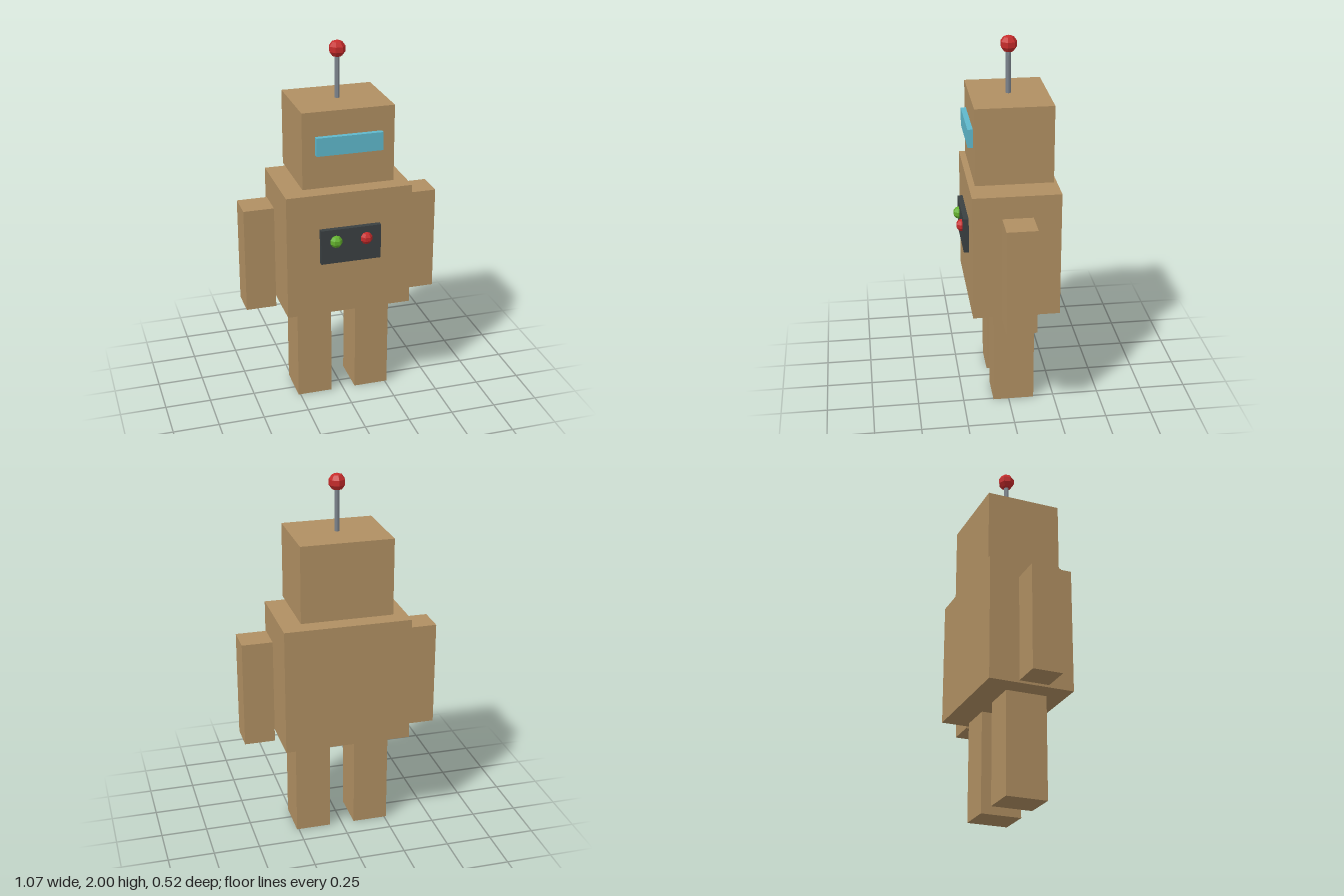
import * as THREE from 'three';

const material = (name, color, flatShading = true) => {
  const m = new THREE.MeshStandardMaterial({ color, flatShading });
  m.name = name;
  return m;
};

export function createModel() {
  const cardboard = material('cardboard tan', 0xb08f62);
  const blue = material('visor blue', 0x5fb8cc);
  const charcoal = material('panel charcoal', 0x3a4042);
  const red = material('light red', 0xc62b2b);
  const green = material('light green', 0x62b02c);
  const metal = material('antenna grey', 0x7c838c);

  const robot = new THREE.Group();
  robot.name = 'robot';

  const add = (name, geometry, mat, x, y, z) => {
    const mesh = new THREE.Mesh(geometry, mat);
    mesh.name = name;
    mesh.position.set(x, y, z);
    robot.add(mesh);
    return mesh;
  };

  // Box given by its lower and upper bounds on each axis
  const box = (name, mat, [x0, x1], [y0, y1], [z0, z1]) =>
    add(name, new THREE.BoxGeometry(x1 - x0, y1 - y0, z1 - z0), mat,
      (x0 + x1) / 2, (y0 + y1) / 2, (z0 + z1) / 2);

  // Seven-sided faceted ball with a flat facet toward the front
  const ball = (name, mat, r, x, y, z) =>
    add(name, new THREE.SphereGeometry(r, 7, 5).rotateY(-Math.PI / 2), mat, x, y, z);

  // Head and body
  box('torso', cardboard, [-0.342, 0.342], [0.565, 1.252], [-0.263, 0.201]);
  box('head', cardboard, [-0.247, 0.247], [1.281, 1.694], [-0.235, 0.175]);
  box('visor', blue, [-0.178, 0.178], [1.465, 1.563], [0.175, 0.203]);

  // Limbs, mirrored
  for (const [side, s] of [['left', 1], ['right', -1]]) {
    const span = (a, b) => (s > 0 ? [a, b] : [-b, -a]);
    box(side + 'Arm', cardboard, span(0.37, 0.534), [0.565, 1.143], [-0.112, 0.05]);
    box(side + 'Leg', cardboard, span(0.069, 0.261), [0, 0.551], [-0.138, 0.085]);
  }

  // Chest panel with two lights
  box('chestPanel', charcoal, [-0.164, 0.164], [0.868, 1.06], [0.201, 0.229]);
  ball('greenLight', green, 0.034, -0.083, 0.993, 0.229);
  ball('redLight', red, 0.034, 0.083, 0.993, 0.229);

  // Antenna
  add('antennaRod', new THREE.CylinderGeometry(0.014, 0.014, 0.25, 8), metal, 0, 1.81, -0.03);
  ball('antennaBall', red, 0.046, 0, 1.954, -0.031);

  return robot;
}
